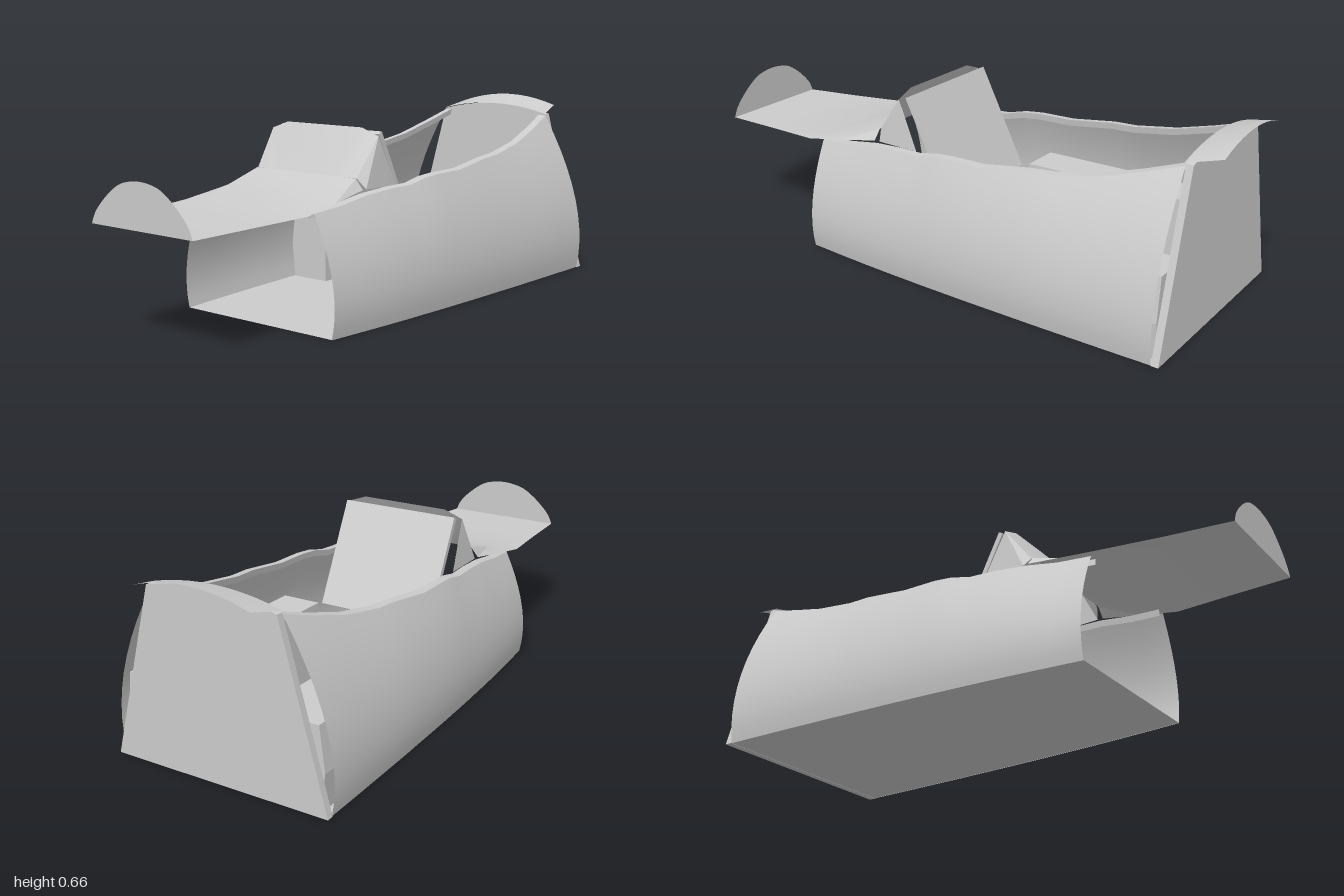
import * as THREE from 'three';
import { toCreasedNormals } from 'three/addons/utils/BufferGeometryUtils.js';

const grey = new THREE.MeshStandardMaterial({ color: 0xcccccc, side: THREE.DoubleSide });
grey.name = 'plain grey';

// surface through equal-length rows of [x, y, z] points
function loft(rows, crease = 0.5) {
  const n = rows[0].length, index = [];
  for (let r = 0; r < rows.length - 1; r++) {
    for (let k = 0; k < n - 1; k++) {
      const a = r * n + k, b = a + 1, c = a + n, d = c + 1;
      index.push(a, c, b, b, c, d);
    }
  }
  const g = new THREE.BufferGeometry();
  g.setAttribute('position', new THREE.Float32BufferAttribute(rows.flat(2), 3));
  g.setIndex(index);
  return toCreasedNormals(g, crease);
}

const mirrorRows = (rows, s) => rows.map(row => row.map(([x, y, z]) => [x * s, y, z]));

// cross-section stations: z, widest half width, rim x, rim y
const stations = [
  [0.52, 0.330, 0.250, 0.390], [0.40, 0.343, 0.258, 0.400], [0.28, 0.355, 0.268, 0.420],
  [0.16, 0.365, 0.280, 0.430], [0.07, 0.371, 0.288, 0.432], [0.00, 0.376, 0.295, 0.448],
  [-0.07, 0.380, 0.299, 0.454], [-0.20, 0.387, 0.301, 0.455], [-0.37, 0.394, 0.296, 0.478],
  [-0.46, 0.398, 0.290, 0.483], [-0.62, 0.403, 0.277, 0.510], [-0.76, 0.407, 0.260, 0.550],
  [-0.89, 0.410, 0.240, 0.592],
];

// curved side section from floor to rim
function sideRow([z, w, rx, ry]) {
  const curve = new THREE.QuadraticBezierCurve(
    new THREE.Vector2(0.968 * w, 0), new THREE.Vector2(1.1 * w, 0.42 * ry), new THREE.Vector2(rx, ry));
  return curve.getPoints(10).map(p => [p.x, p.y, z]);
}

export function createModel() {
  const group = new THREE.Group();
  const add = (name, geometry) => {
    const mesh = new THREE.Mesh(geometry, grey);
    mesh.name = name;
    group.add(mesh);
    return mesh;
  };

  // floor follows the bottom edge of the sides
  const floor = stations.map(([z, w]) => [[-0.968 * w, 0.001, z], [0.968 * w, 0.001, z]]);
  floor.push([[-0.397, 0.001, -0.915], [0.397, 0.001, -0.915]]);
  add('floor', loft(floor));

  const shell = stations.map(sideRow);
  const rim = stations.map(([z, , x, y]) => [[x, y, z], [x - 0.03, y + 0.003, z]]);
  const rimInside = stations.map(([z, , x, y]) => [[x - 0.03, y + 0.003, z], [x - 0.026, y - 0.02, z]]);

  // side armrest box outline
  const consoleShape = new THREE.Shape([[0.21, 0.002], [0.362, 0.002], [0.375, 0.13], [0.357, 0.28], [0.21, 0.28]]
    .map(p => new THREE.Vector2(...p)));

  // side of the windscreen cowl
  const cowlSide = [
    [[0.165, 0.47, 0.28], [0.235, 0.60, 0.18]],
    [[0.22, 0.47, 0.275], [0.235, 0.60, 0.18]],
    [[0.248, 0.435, 0.26], [0.237, 0.58, 0.172]],
    [[0.246, 0.43, 0.10], [0.235, 0.60, 0.18]],
  ];

  for (const [side, s] of [['left', 1], ['right', -1]]) {
    add(side + 'Shell', loft(mirrorRows(shell, s), 0.9));
    add(side + 'Rim', loft(mirrorRows(rim, s)));
    add(side + 'RimInside', loft(mirrorRows(rimInside, s)));
    add(side + 'CowlSide', loft(mirrorRows(cowlSide, s), 0.2));
    const box = new THREE.ExtrudeGeometry(consoleShape, { depth: 0.82, bevelEnabled: false });
    if (s < 0) box.rotateY(Math.PI).translate(0, 0, 0.82);
    add(side + 'Console', box).position.z = -0.89;
  }

  // nose deck rising to the windscreen
  const deck = [[1, 0.22, 0.375, 0.16, 0.375], [0.78, 0.242, 0.382, 0.18, 0.382],
    [0.57, 0.268, 0.390, 0.20, 0.392], [0.43, 0.26, 0.411, 0.212, 0.428], [0.28, 0.25, 0.435, 0.22, 0.47]]
    .map(([z, x, y, sx, sy]) => [[-x, y, z], [-sx, sy, z], [sx, sy, z], [x, y, z]]);
  add('noseDeck', loft(deck, 0.4));

  // upright rounded plate at the nose tip
  const nose = new THREE.Shape();
  nose.moveTo(-0.22, 0.375);
  nose.lineTo(0.22, 0.375);
  nose.splineThru([[0.2, 0.415], [0.15, 0.465], [0.095, 0.503], [0.05, 0.517], [0, 0.522], [-0.05, 0.517],
    [-0.095, 0.503], [-0.15, 0.465], [-0.2, 0.415], [-0.22, 0.375]].map(p => new THREE.Vector2(...p)));
  add('nosePlate', new THREE.ShapeGeometry(nose, 3)).position.z = 1;

  // windscreen, wider at the top
  add('windscreen', loft([
    [[-0.165, 0.47, 0.28], [-0.12, 0.47, 0.28], [0.12, 0.47, 0.28], [0.165, 0.47, 0.28]],
    [[-0.235, 0.60, 0.18], [-0.165, 0.625, 0.18], [0.165, 0.625, 0.18], [0.235, 0.60, 0.18]],
  ]));

  // slanted instrument panel
  const panel = add('instrumentPanel', new THREE.BoxGeometry(0.445, 0.39, 0.018));
  panel.position.set(0, 0.434, 0.066);
  panel.rotation.x = Math.atan2(0.175, 0.35);

  // rear bulkhead with arched top
  const arch = (half, base, rise) => Array.from({ length: 11 }, (_, i) => {
    const u = i / 5 - 1;
    return [u * half, base + rise * (1 - u * u)];
  });
  const wall = new THREE.Shape([[0.4, 0], ...arch(0.24, 0.598, 0.032).reverse(), [-0.4, 0]]
    .map(p => new THREE.Vector2(...p)));
  add('rearBulkhead', new THREE.ExtrudeGeometry(wall, { depth: 0.025, bevelEnabled: false })).position.z = -0.916;

  // arched cap projecting behind the bulkhead
  add('rearCap', loft([
    arch(0.24, 0.6, 0.032).map(([x, y]) => [x, y, -0.885]),
    arch(0.215, 0.626, 0.036).map(([x, y]) => [x, y, -1]),
  ]));

  return group;
}
